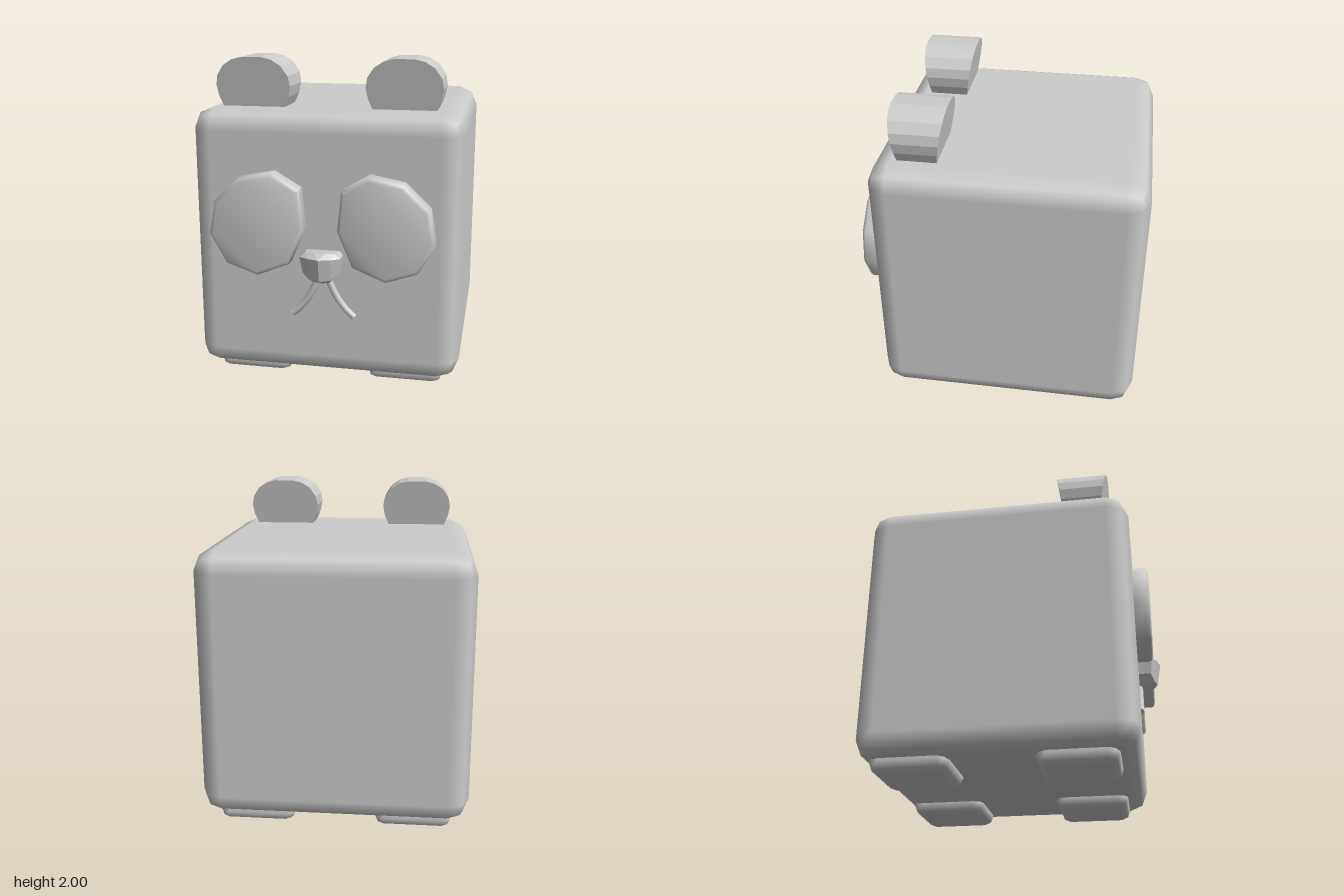
import * as THREE from 'three';
import { toCreasedNormals } from 'three/addons/utils/BufferGeometryUtils.js';
import { RoundedBoxGeometry } from 'three/addons/geometries/RoundedBoxGeometry.js';
import { ConvexGeometry } from 'three/addons/geometries/ConvexGeometry.js';

const shapeOf = (points) => new THREE.Shape(points.map(([x, y]) => new THREE.Vector2(x, y)));

export function createModel() {
  const model = new THREE.Group();
  const grey = new THREE.MeshStandardMaterial({ color: 0xcccccc });
  grey.name = 'light grey';

  const add = (name, geometry, x = 0, y = 0, z = 0) => {
    const mesh = new THREE.Mesh(geometry, grey);
    mesh.name = name;
    mesh.position.set(x, y, z);
    model.add(mesh);
    return mesh;
  };

  // Cube body with two-step rounded edges
  add('body', new RoundedBoxGeometry(1.635, 1.635, 1.635, 1, 0.13), 0, 0.8875, -0.0725);

  // Four shallow feet
  for (const x of [-0.48, 0.48]) {
    for (const z of [-0.5725, 0.3875]) {
      add('foot', new RoundedBoxGeometry(0.47, 0.13, 0.47, 1, 0.06), x, 0.07, z);
    }
  }

  // Ear: half outline as [half width, height], extruded and thickened upward
  const earHalf = [[0.172, 1.65], [0.19, 1.705], [0.215, 1.765], [0.227, 1.83],
    [0.216, 1.89], [0.175, 1.95], [0.12, 1.985], [0.06, 2.0]];
  const earOutline = [...earHalf, ...earHalf.map(([x, y]) => [-x, y]).reverse()];
  const ear = new THREE.ExtrudeGeometry(shapeOf(earOutline), { depth: 2, bevelEnabled: false });
  ear.translate(0, 0, -1);
  const p = ear.attributes.position;
  for (let i = 0; i < p.count; i++) {
    p.setZ(i, p.getZ(i) * (0.118 + (p.getY(i) - 1.705) * 0.16));
  }
  ear.computeVertexNormals();

  // Nine-sided eye patch outline for the model's left
  const eyeOutline = [[0.285, 1.355], [0.125, 1.26], [0.1, 1.02], [0.19, 0.805], [0.385, 0.725],
    [0.575, 0.79], [0.675, 0.97], [0.64, 1.17], [0.49, 1.315]];

  for (const side of [1, -1]) {
    const label = side > 0 ? 'left' : 'right';
    add(label + 'Ear', ear, side * 0.453, 0, 0.457);

    const outline = eyeOutline.map(([x, y]) => [side * x, y]);
    const eye = new THREE.ExtrudeGeometry(shapeOf(outline), {
      depth: 0.1, bevelThickness: 0.025, bevelSize: 0.025, bevelOffset: -0.025, bevelSegments: 2,
    });
    add(label + 'EyePatch', toCreasedNormals(eye, 0.9), 0, 0, 0.715);

    // Curved mouth line with a closed end
    const curve = new THREE.QuadraticBezierCurve3(
      new THREE.Vector3(side * 0.03, 0.71, 0.745),
      new THREE.Vector3(side * 0.085, 0.55, 0.745),
      new THREE.Vector3(side * 0.19, 0.47, 0.745),
    );
    add(label + 'MouthLine', new THREE.TubeGeometry(curve, 8, 0.021, 8));
    const cap = add(label + 'MouthEnd', new THREE.CircleGeometry(0.021, 8), side * 0.19, 0.47, 0.745);
    cap.quaternion.setFromUnitVectors(new THREE.Vector3(0, 0, 1), curve.getTangent(1));
  }

  // Faceted nose, narrowing toward the bottom
  const nosePoints = [];
  const corner = (x, y, z) => {
    for (const s of [1, -1]) nosePoints.push(new THREE.Vector3(s * x, y, z));
  };
  corner(0.1, 0.88, 0.73);
  corner(0.09, 0.885, 0.83);
  corner(0.035, 0.892, 0.845);
  corner(0.122, 0.86, 0.73);
  corner(0.122, 0.86, 0.835);
  corner(0.07, 0.86, 0.865);
  corner(0.0, 0.86, 0.887);
  corner(0.108, 0.76, 0.73);
  corner(0.108, 0.76, 0.82);
  corner(0.065, 0.725, 0.84);
  corner(0.0, 0.72, 0.86);
  corner(0.05, 0.695, 0.73);
  corner(0.045, 0.693, 0.79);
  corner(0.0, 0.68, 0.77);
  add('nose', new ConvexGeometry(nosePoints));

  return model;
}
